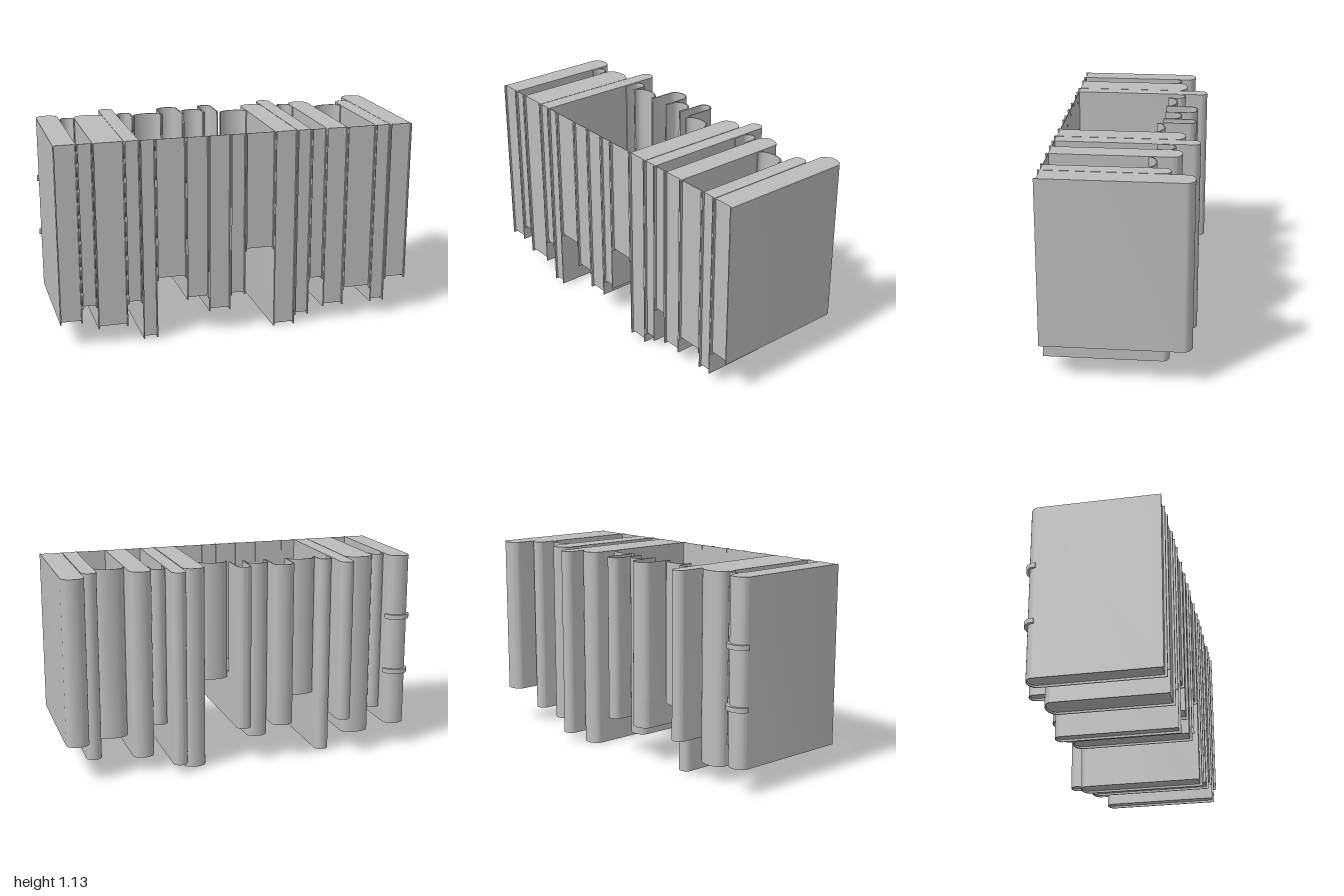
import * as THREE from 'three';
import { toCreasedNormals } from 'three/addons/utils/BufferGeometryUtils.js';

const FRONT = 0.39; // fore-edge side of the covers
const BOARD = 0.006; // cover thickness
const INSET = 0.012; // pages sit this far inside the covers

// [left x, right x, bottom y, spine depth (-z), closed on top]
const BOOKS = [
  [-0.99, -0.87, 0.14, 0.31, true],
  [-0.868, -0.788, 0.22, 0.23, false],
  [-0.785, -0.622, 0.095, 0.27, true],
  [-0.62, -0.54, 0.22, 0.395, true],
  [-0.537, -0.457, 0.01, 0.27, false],
  [-0.455, -0.292, 0.34, 0.23, false],
  [-0.29, -0.167, 0.21, 0.355, false],
  [-0.165, -0.045, 0.13, 0.27, false],
  [-0.043, 0.04, 0.21, 0.355, false],
  [0.043, 0.205, 0.46, 0.19, false],
  [0.207, 0.33, 0.0, 0.31, true],
  [0.333, 0.413, 0.05, 0.395, true],
  [0.415, 0.498, 0.25, 0.27, false],
  [0.5, 0.62, 0.085, 0.31, true],
  [0.622, 0.785, 0.17, 0.19, false],
  [0.787, 0.87, 0.085, 0.27, true],
  [0.873, 0.997, 0.21, 0.395, true],
];

// Rounded spine from left to right; plan points are (x, -z)
function arc(x0, x1, depth, rise, n = 18) {
  const pts = [];
  for (let i = 0; i <= n; i++) {
    const a = Math.PI * (1 - i / n);
    pts.push(new THREE.Vector2((x0 + x1) / 2 + Math.cos(a) * (x1 - x0) / 2,
      depth - rise + Math.sin(a) * rise));
  }
  return pts;
}

// Plan outline of a thin U: rounded spine with two legs ending at -z = end
function uOutline(x0, x1, depth, rise, end, t = BOARD) {
  const v = (x, y) => new THREE.Vector2(x, y);
  return [v(x0, end), ...arc(x0, x1, depth, rise), v(x1, end), v(x1 - t, end),
    ...arc(x0 + t, x1 - t, depth - t, rise - t / 2).reverse(), v(x0 + t, end)];
}

// Raise a plan outline from y0 to y1
function raise(points, y0, y1) {
  const g = new THREE.ExtrudeGeometry(new THREE.Shape(points),
    { depth: y1 - y0, bevelEnabled: false });
  g.rotateX(-Math.PI / 2);
  g.translate(0, y0, 0);
  return toCreasedNormals(g, 0.6);
}

export function createModel() {
  const model = new THREE.Group();
  model.name = 'bookRow';
  const grey = new THREE.MeshStandardMaterial({ color: 0xbcbcbc, side: THREE.DoubleSide });
  grey.name = 'grey';

  const add = (parent, name, geometry) => {
    const mesh = new THREE.Mesh(geometry, grey);
    mesh.name = name;
    parent.add(mesh);
  };
  const box = (parent, name, x0, x1, y0, y1, z0, z1) => {
    const g = new THREE.BoxGeometry(x1 - x0, y1 - y0, z1 - z0);
    g.translate((x0 + x1) / 2, (y0 + y1) / 2, (z0 + z1) / 2);
    add(parent, name, g);
  };

  BOOKS.forEach(([x0, x1, bottom, depth, closed], i) => {
    const book = new THREE.Group();
    book.name = 'book' + (i + 1);
    model.add(book);
    const top = 1.122 - 0.005 * (x0 + x1) / 2;
    const rise = Math.min(0.046, (x1 - x0) * 0.45);
    const inner = [
      new THREE.Vector2(x0 + BOARD, INSET - FRONT),
      ...arc(x0 + BOARD, x1 - BOARD, depth - BOARD, rise - BOARD / 2),
      new THREE.Vector2(x1 - BOARD, INSET - FRONT),
    ];

    if (closed) {
      // Full cover around a solid page block
      add(book, 'cover', raise(uOutline(x0, x1, depth, rise, -FRONT), bottom, top));
      add(book, 'pages', raise(inner, bottom + INSET, top));
      return;
    }

    // Open book: boards only where they stand below the neighbours
    const near = [BOOKS[i - 1], BOOKS[i + 1]].filter(Boolean).map((b) => b[2]);
    const boardTop = Math.max(bottom, ...near) + 0.03;
    add(book, 'cover', raise(uOutline(x0, x1, depth, rise, -FRONT), bottom, boardTop));
    add(book, 'spine', raise(
      uOutline(x0, x1, depth, rise, Math.min(0.17, depth - rise - 0.005)), boardTop, top));
    add(book, 'pageBottom', raise(inner, bottom + INSET, bottom + INSET + 0.004));
    box(book, 'pageFront', x0, x1, bottom + INSET, top, FRONT - INSET - 0.004, FRONT - INSET);
    for (const x of [x0, x1 - BOARD]) {
      box(book, 'coverEdge', x, x + BOARD, boardTop, top, FRONT - INSET - 0.004, FRONT);
    }
  });

  // Raised bands on the spine of the first book
  for (const y of [0.455, 0.775]) {
    add(model, 'spineBand', raise(
      uOutline(-1, -0.86, 0.328, 0.056, 0.265, 0.016), y - 0.013, y + 0.013));
  }
  return model;
}
